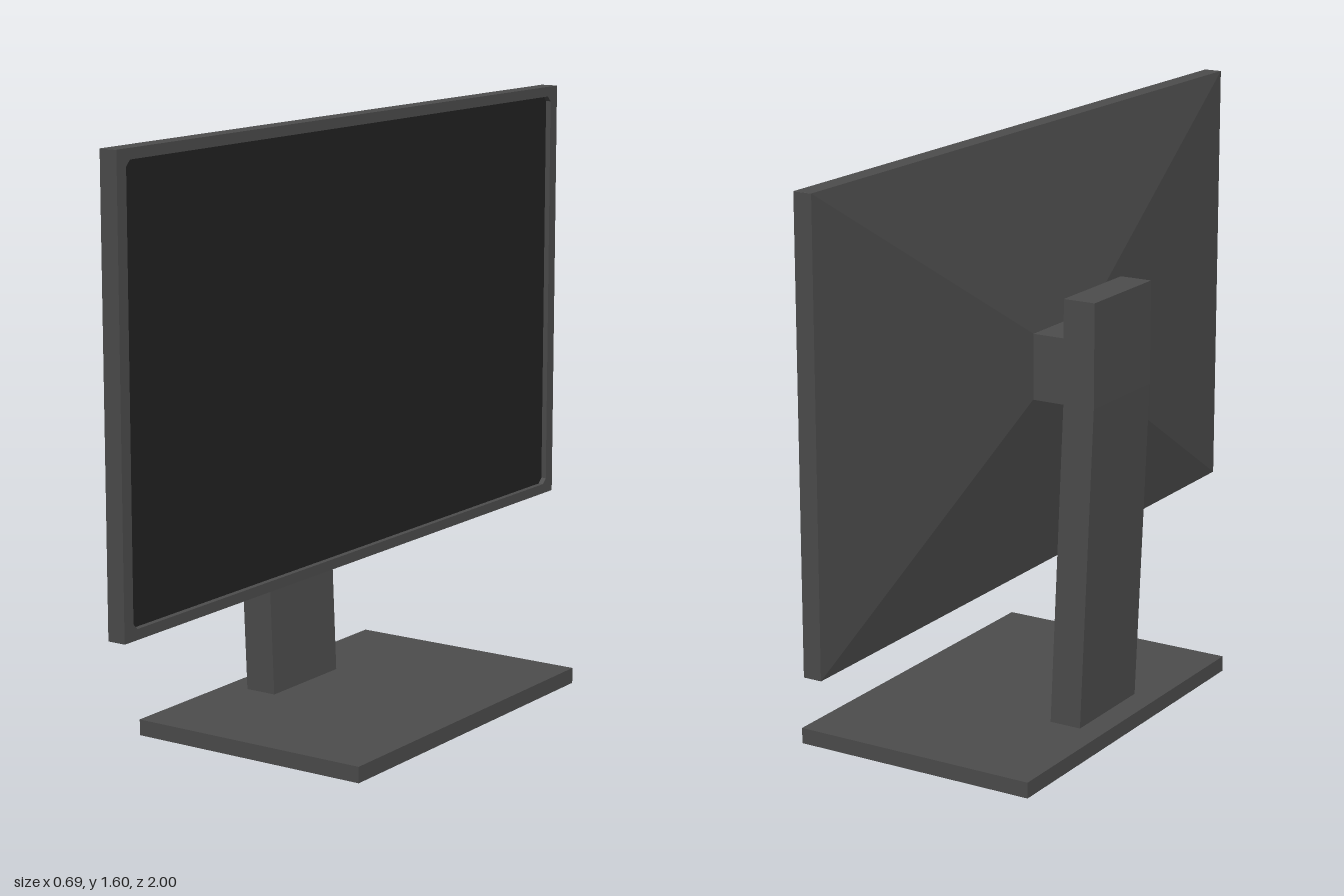
import * as THREE from 'three';

const gray = new THREE.MeshStandardMaterial({ color: 0x4d4d4d });
gray.name = 'charcoalPlastic';
const dark = new THREE.MeshStandardMaterial({ color: 0x222222 });
dark.name = 'darkScreen';

function add(group, name, geometry, material) {
  const mesh = new THREE.Mesh(geometry, material);
  mesh.name = name;
  group.add(mesh);
  return mesh;
}

// Rectangle with cut corners
function cutRect(w, h, c, Type = THREE.Shape) {
  const x = w / 2, y = h / 2;
  return new Type([
    [-x + c, -y], [x - c, -y], [x, -y + c], [x, y - c],
    [x - c, y], [-x + c, y], [-x, y - c], [-x, -y + c],
  ].map(([a, b]) => new THREE.Vector2(a, b)));
}

export function createModel() {
  const model = new THREE.Group();
  model.name = 'monitor';

  const width = 2, height = 1.19, centreY = 1.008;
  const panelBack = -0.06, panelFront = -0.01, recess = 0.015;
  const screenW = 1.93, screenH = 1.135, corner = 0.015;
  const standW = 0.292;

  // Base plate
  const base = add(model, 'base', new THREE.BoxGeometry(0.695, 0.043, 1.05), gray);
  base.position.set(-0.0025, 0.0215, 0);

  // Leaning post with a bracket reaching forward to the panel
  const profile = [
    [-0.28, 0.04], [-0.19, 0.04], [-0.225, 0.92], [-0.133, 0.92], [-0.133, 1.095],
    [-0.225, 1.095], [-0.225, 1.198], [-0.315, 1.198], [-0.315, 0.92],
  ].map(([x, y]) => new THREE.Vector2(x, y));
  const post = new THREE.ExtrudeGeometry(new THREE.Shape(profile), { depth: standW, bevelEnabled: false });
  post.translate(0, 0, -standW / 2);
  add(model, 'standPost', post, gray);

  // Bezel frame around the recessed screen
  const outline = cutRect(width, height, 0.0005);
  outline.holes.push(cutRect(screenW, screenH, corner, THREE.Path));
  const bezel = new THREE.ExtrudeGeometry(outline, { depth: panelFront - panelBack, bevelEnabled: false });
  bezel.rotateY(Math.PI / 2);
  bezel.translate(panelBack, centreY, 0);
  add(model, 'bezel', bezel, gray);

  // Screen
  const screen = new THREE.ShapeGeometry(cutRect(screenW, screenH, corner));
  screen.rotateY(Math.PI / 2);
  screen.translate(panelFront - recess, centreY, 0);
  add(model, 'screen', screen, dark);

  // Back cover tapering to the bracket
  const depth = 0.075;
  const cover = new THREE.BoxGeometry(depth, height, width);
  const p = cover.attributes.position;
  for (let i = 0; i < p.count; i++) {
    if (p.getX(i) < 0) {
      p.setY(i, Math.sign(p.getY(i)) * 0.0875);
      p.setZ(i, Math.sign(p.getZ(i)) * standW / 2);
    }
  }
  cover.computeVertexNormals();
  cover.translate(panelBack - depth / 2, centreY, 0);
  add(model, 'backCover', cover, gray);

  return model;
}
